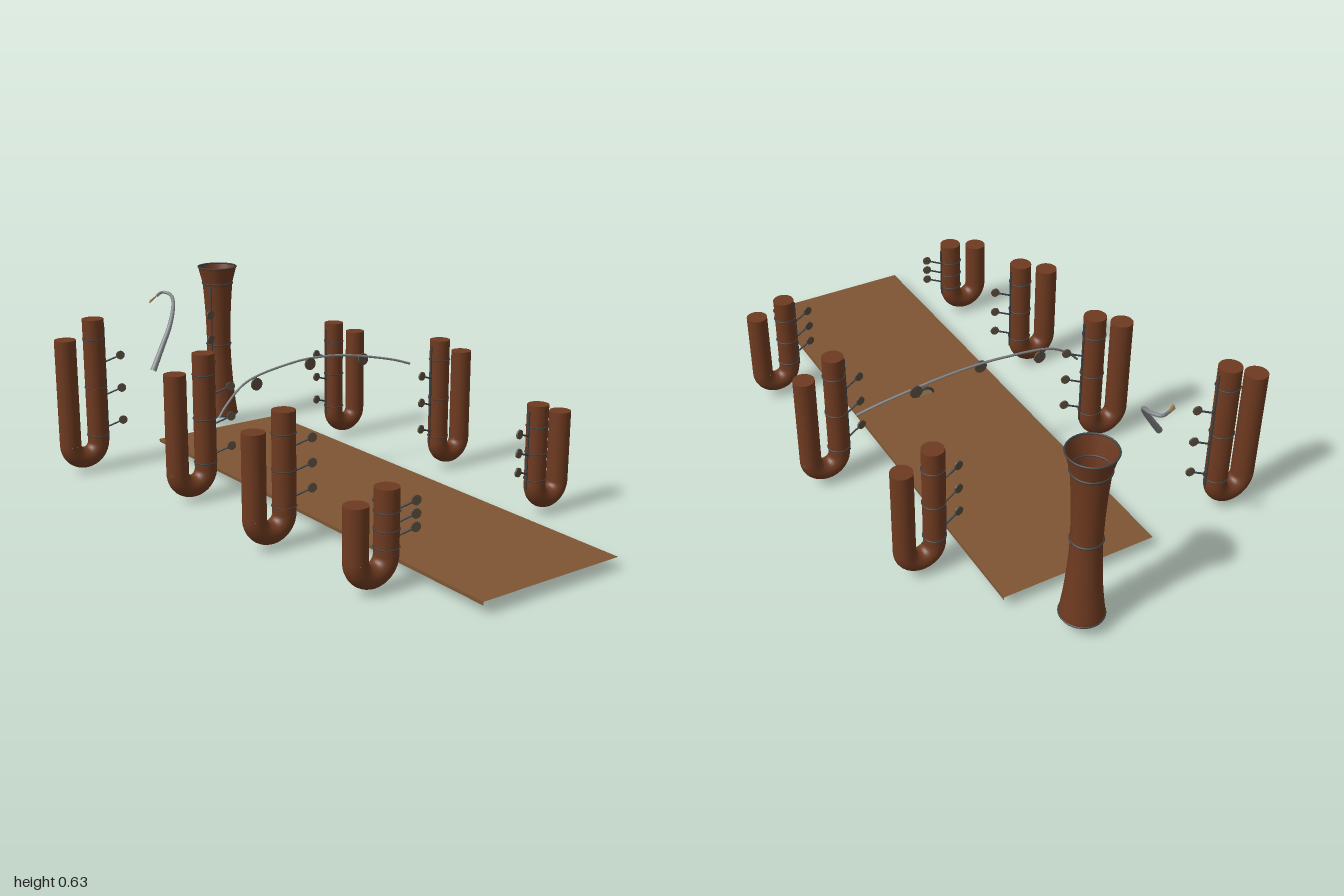
import * as THREE from 'three';

const mat = (color, side = THREE.FrontSide) => new THREE.MeshStandardMaterial({ color, side });
const wood = mat(0x6e3a20);
const woodOpen = mat(0x6e3a20, THREE.DoubleSide);
const deckWood = mat(0x7d5533);
const darkMetal = mat(0x3c4246);
const steel = mat(0x83878a);
const bronze = mat(0x5a4d3e);
const tan = mat(0xb89a68);
const V = (x, y, z) => new THREE.Vector3(x, y, z);

function add(parent, name, geometry, material, x = 0, y = 0, z = 0) {
  const mesh = new THREE.Mesh(geometry, material);
  mesh.name = name;
  mesh.position.set(x, y, z);
  parent.add(mesh);
  return mesh;
}

// Round rod between two points
function rod(parent, name, a, b, r, material) {
  const d = b.clone().sub(a);
  const m = add(parent, name, new THREE.CylinderGeometry(r, r, d.length(), 10), material);
  m.position.copy(a).addScaledVector(d, 0.5);
  m.quaternion.setFromUnitVectors(V(0, 1, 0), d.normalize());
  return m;
}

// Thin round pad facing forward, turned a little about y
function pad(parent, p, r, turn = 0) {
  const g = new THREE.CylinderGeometry(r, r, 0.006, 24).rotateX(Math.PI / 2).rotateY(turn);
  return add(parent, 'keyPad', g, bronze, p.x, p.y, p.z);
}

function band(parent, y, r, x = 0, tube = 0.002) {
  return add(parent, 'band', new THREE.TorusGeometry(r, tube, 6, 32).rotateX(Math.PI / 2), darkMetal, x, y, 0);
}

// Tube along a curve with its radius running from r0 to r1
function taperedTube(points, r0, r1, segments = 48, radial = 12) {
  const curve = new THREE.CatmullRomCurve3(points);
  const g = new THREE.TubeGeometry(curve, segments, 1, radial);
  const pos = g.attributes.position, p = V(0, 0, 0);
  for (let i = 0; i < pos.count; i++) {
    const t = Math.floor(i / (radial + 1)) / segments;
    const c = curve.getPointAt(t);
    p.fromBufferAttribute(pos, i).sub(c).multiplyScalar(r0 + (r1 - r0) * t).add(c);
    pos.setXYZ(i, p.x, p.y, p.z);
  }
  return g;
}

// U-shaped pipe; side is the direction in x from the outer leg to the inner leg
function uPipe(x, z, side, r, innerTop, outerTop, bottom) {
  const g = new THREE.Group();
  g.name = 'uPipe';
  g.position.set(x, 0, z);
  const bend = r * 1.45, by = bottom + bend + r;
  for (const [s, top] of [[side, innerTop], [-side, outerTop]])
    add(g, 'pipeLeg', new THREE.CylinderGeometry(r, r, top - by, 32), wood, s * bend, (top + by) / 2, 0);
  add(g, 'pipeBend', new THREE.TorusGeometry(bend, r, 24, 32, Math.PI).rotateZ(Math.PI), wood, 0, by, 0);

  // Bands, key rod and three pads on the inner leg
  const edge = bend + r;
  const padTop = 0.65 * innerTop + 0.05;
  rod(g, 'keyRod', V(side * (edge + 0.003), 0.095, 0), V(side * (edge + 0.003), innerTop - 0.02, 0), 0.003, darkMetal);
  for (let i = 0; i < 3; i++) {
    band(g, THREE.MathUtils.lerp(0.125, innerTop - 0.07, i / 2), r + 0.001, side * bend);
    const y = THREE.MathUtils.lerp(0.166, padTop, i / 2);
    const p = V(side * (edge + 0.056), y, 0.015);
    rod(g, 'keyArm', V(side * edge, y - 0.02, 0), p, 0.003, darkMetal);
    pad(g, p, 0.015, -side * 0.2);
  }
  return g;
}

// Flared open column with rings and keywork
function column() {
  const g = new THREE.Group();
  g.name = 'bellColumn';
  g.position.set(0.156, 0, -0.927);
  const curve = new THREE.SplineCurve([
    [0.067, 0.05], [0.056, 0.14], [0.048, 0.25], [0.046, 0.33], [0.049, 0.45], [0.057, 0.565],
  ].map(p => new THREE.Vector2(...p)));
  const profile = [new THREE.Vector2(0.066, 0.04), ...curve.getPoints(24), new THREE.Vector2(0.074, 0.63)];
  add(g, 'columnBody', new THREE.LatheGeometry(profile, 40), woodOpen);
  for (const [y, r] of [[0.045, 0.067], [0.325, 0.047], [0.565, 0.058], [0.628, 0.073]]) band(g, y, r, 0, 0.003);
  rod(g, 'keyRod', V(-0.06, 0.13, 0.05), V(-0.06, 0.56, 0.05), 0.003, darkMetal);
  for (let i = 0; i < 4; i++) {
    const y = 0.168 + i * 0.096;
    rod(g, 'keyPost', V(-0.03, y, 0.025), V(-0.06, y, 0.05), 0.003, darkMetal);
    pad(g, V(-0.071, y, 0.06), 0.017, 0.2);
  }
  return g;
}

export function createModel() {
  const model = new THREE.Group();
  model.name = 'model';

  // Walkway slab, open at both ends
  const slab = new THREE.BoxGeometry(0.525, 0.011, 1.77);
  slab.setIndex(Array.from(slab.index.array).slice(0, 24));
  slab.clearGroups();
  add(model, 'walkway', slab, deckWood, 0.058, 0.034, 0.115);

  // Pipes: x, z, inner height, outer height
  for (const [x, z, inner, outer] of [
    [-0.536, -0.708, 0.543, 0.482], [-0.382, -0.225, 0.495, 0.44],
    [-0.404, 0.272, 0.425, 0.375], [-0.357, 0.707, 0.302, 0.27],
  ]) model.add(uPipe(x, z, 1, 0.037, inner, outer, 0.013));
  for (const [x, z, inner, outer] of [
    [0.463, -0.518, 0.448, 0.402], [0.536, 0.005, 0.472, 0.418], [0.488, 0.537, 0.371, 0.333],
  ]) model.add(uPipe(x, z, -1, 0.0345, inner, outer, 0.018));

  model.add(column());

  // Arched rod with three pads
  const arch = new THREE.Group();
  arch.name = 'arch';
  model.add(arch);
  const archCurve = new THREE.CatmullRomCurve3([
    V(-0.315, 0.29, -0.155), V(-0.285, 0.322, -0.162), V(-0.195, 0.385, -0.178), V(0, 0.421, -0.19),
    V(0.085, 0.425, -0.191), V(0.21, 0.417, -0.187), V(0.41, 0.377, -0.167), V(0.485, 0.353, -0.155),
  ]);
  add(arch, 'archRod', new THREE.TubeGeometry(archCurve, 64, 0.004, 8), steel);
  for (const [x, y, top] of [[-0.15, 0.371, 0.4], [0.068, 0.408, 0.425], [0.295, 0.391, 0.402]]) {
    pad(arch, V(x, y, -0.183), 0.021);
    rod(arch, 'padHanger', V(x, y, -0.186), V(x, top, -0.186), 0.003, darkMetal);
  }

  // Curved mouthpiece pipe with a flat tip
  add(model, 'crookPipe', taperedTube([
    V(-0.287, 0.338, -0.647), V(-0.235, 0.408, -0.675), V(-0.18, 0.485, -0.705), V(-0.133, 0.55, -0.762),
    V(-0.12, 0.571, -0.81), V(-0.135, 0.575, -0.838), V(-0.168, 0.566, -0.825),
  ], 0.011, 0.005), steel);
  const tip = add(model, 'crookTip', new THREE.CylinderGeometry(0.009, 0.005, 0.05, 12), tan, -0.186, 0.561, -0.813);
  tip.scale.z = 0.35;
  tip.quaternion.setFromUnitVectors(V(0, 1, 0), V(-0.037, -0.01, 0.025).normalize());

  // Small upright wheel set through the walkway
  const wheel = new THREE.Group();
  wheel.name = 'wheel';
  wheel.position.set(0.061, 0.035, 0.22);
  model.add(wheel);
  add(wheel, 'wheelFace', new THREE.CylinderGeometry(0.029, 0.029, 0.006, 32).rotateX(Math.PI / 2), tan);
  add(wheel, 'wheelRim', new THREE.TorusGeometry(0.03, 0.005, 8, 32), darkMetal);
  rod(wheel, 'wheelAxle', V(0, 0, -0.03), V(0, 0, 0.03), 0.004, bronze);
  for (const a of [-0.6, 0, 0.6])
    rod(wheel, 'wheelSpoke', V(0, 0, 0.004), V(Math.sin(a) * 0.026, Math.cos(a) * 0.026, 0.004), 0.0015, bronze);

  return model;
}
